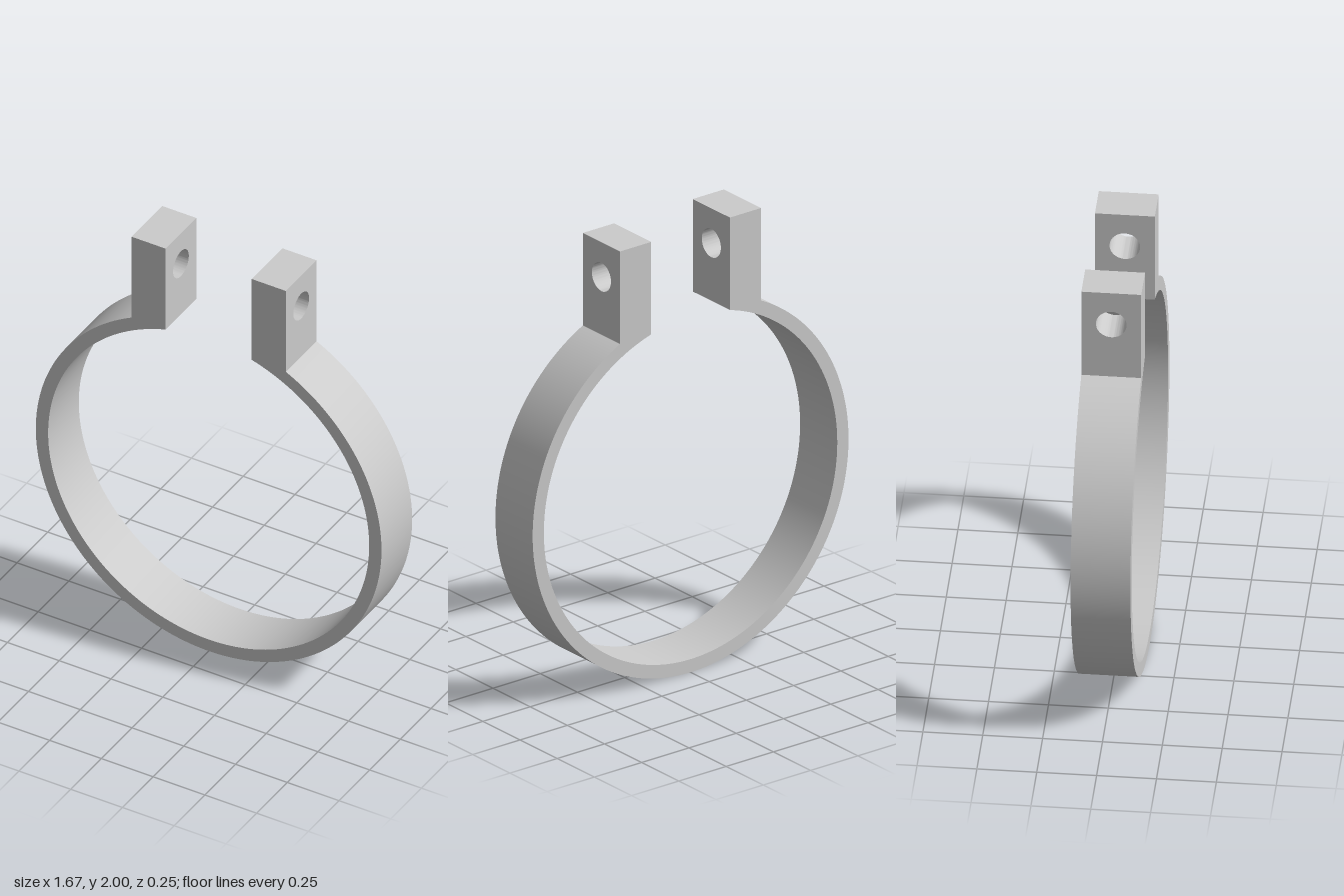
import * as THREE from 'three';
import { toCreasedNormals } from 'three/addons/utils/BufferGeometryUtils.js';

const WIDTH = 0.25;                    // band width along z
const R_OUT = 0.835;                   // band outer radius, also its centre height
const X_IN = 0.208, X_OUT = 0.373;     // lug faces
const RISE = Math.sqrt(R_OUT ** 2 - X_OUT ** 2);
const SEAM = R_OUT + RISE;             // height where the lugs meet the band
const R_IN = Math.hypot(X_IN, RISE);
const TOP = 2, HOLE_Y = 1.843, HOLE_R = 0.064;

// Extrudes a shape, drops the hidden faces on the seam and smooths the curves
function extrude(shape, depth, curveSegments) {
  const geometry = new THREE.ExtrudeGeometry(shape, { depth, curveSegments, bevelEnabled: false }).toNonIndexed();
  const p = geometry.attributes.position;
  const kept = [];
  for (let i = 0; i < p.count; i += 3) {
    const hidden = [0, 1, 2].every((k) => Math.abs(p.getY(i + k) - SEAM) < 1e-4);
    if (!hidden) for (let k = 0; k < 3; k++) kept.push(p.getX(i + k), p.getY(i + k), p.getZ(i + k));
  }
  const result = new THREE.BufferGeometry();
  result.setAttribute('position', new THREE.Float32BufferAttribute(kept, 3));
  return toCreasedNormals(result, 0.5);
}

export function createModel() {
  const model = new THREE.Group();
  model.name = 'pipeClamp';
  const material = new THREE.MeshStandardMaterial({ color: 0xcccccc });

  // Open circular band, its two ends cut level under the lugs
  const aOut = Math.atan2(RISE, X_OUT), aIn = Math.atan2(RISE, X_IN);
  const ring = new THREE.Shape();
  ring.absarc(0, R_OUT, R_OUT, aOut, Math.PI - aOut, true);
  ring.absarc(0, R_OUT, R_IN, Math.PI - aIn, 2 * Math.PI + aIn, false);
  const band = new THREE.Mesh(extrude(ring, WIDTH, 120), material);
  band.name = 'band';
  band.position.z = -WIDTH / 2;
  model.add(band);

  // Lug block with a bolt hole running along x
  const side = new THREE.Shape();
  side.moveTo(-WIDTH / 2, SEAM);
  side.lineTo(WIDTH / 2, SEAM);
  side.lineTo(WIDTH / 2, TOP);
  side.lineTo(-WIDTH / 2, TOP);
  side.closePath();
  const hole = new THREE.Path();
  hole.absarc(0, HOLE_Y, HOLE_R, 0, Math.PI * 2, true);
  side.holes.push(hole);
  const lugGeometry = extrude(side, X_OUT - X_IN, 48).rotateY(Math.PI / 2);

  for (const [name, x] of [['leftLug', X_IN], ['rightLug', -X_OUT]]) {
    const lug = new THREE.Mesh(lugGeometry, material);
    lug.name = name;
    lug.position.x = x;
    model.add(lug);
  }
  return model;
}
